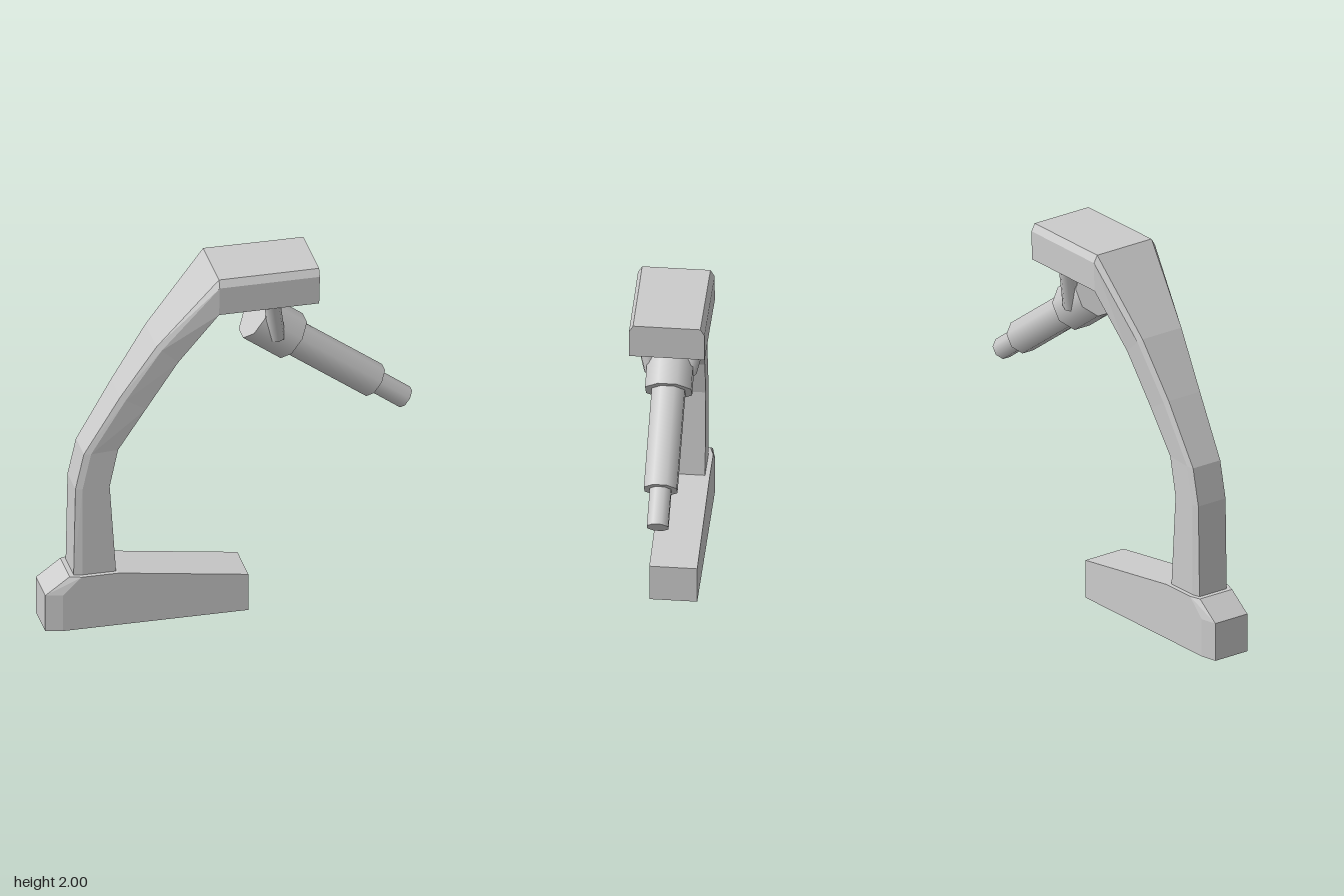
import * as THREE from 'three';
import { ConvexGeometry } from 'three/addons/geometries/ConvexGeometry.js';

const flat = new THREE.MeshStandardMaterial({ color: 0xcccccc, flatShading: true });
const smooth = new THREE.MeshStandardMaterial({ color: 0xcccccc });

function part(name, geometry, material) {
  const mesh = new THREE.Mesh(geometry, material);
  mesh.name = name;
  return mesh;
}

// Eight-sided rod between two points, flats facing sideways
function rod(name, from, to, radius) {
  const a = new THREE.Vector3(...from), b = new THREE.Vector3(...to);
  const dir = b.clone().sub(a);
  const geometry = new THREE.CylinderGeometry(radius, radius, dir.length(), 8, 1, false, Math.PI / 8);
  const mesh = part(name, geometry, smooth);
  mesh.position.copy(a).add(b).multiplyScalar(0.5);
  mesh.quaternion.setFromUnitVectors(new THREE.Vector3(0, 1, 0), dir.normalize());
  return mesh;
}

// Skin through rings of equal length, with closed ends
function loft(rings) {
  const positions = [];
  const tri = (...points) => points.forEach((p) => positions.push(...p));
  const n = rings[0].length;
  for (let i = 0; i < rings.length - 1; i++) {
    for (let k = 0; k < n; k++) {
      const j = (k + 1) % n;
      const a = rings[i][k], b = rings[i][j], c = rings[i + 1][j], d = rings[i + 1][k];
      tri(a, b, c);
      tri(a, c, d);
    }
  }
  const first = rings[0], last = rings[rings.length - 1];
  for (let k = 1; k < n - 1; k++) {
    tri(first[0], first[k + 1], first[k]);
    tri(last[0], last[k], last[k + 1]);
  }
  const geometry = new THREE.BufferGeometry();
  geometry.setAttribute('position', new THREE.Float32BufferAttribute(positions, 3));
  geometry.computeVertexNormals();
  return geometry;
}

// Wedge foot with bevelled rear corners
function makeBase() {
  const points = [];
  for (const s of [-1, 1]) {
    for (const [x, y, z] of [
      [-0.99, 0, 0.105], [-0.99, 0.21, 0.105], [-0.86, 0.305, 0.105],
      [-0.9, 0, 0.125], [-0.9, 0.21, 0.125], [-0.8, 0.305, 0.125],
      [-0.6, 0.305, 0.125], [0.09, 0.21, 0.125], [0.09, 0, 0.125],
    ]) points.push(new THREE.Vector3(x, y, z * s));
  }
  return part('base', new ConvexGeometry(points), flat);
}

// Curved arm and head: outer x, y, inner x, y, half width
function makeArm() {
  const stations = [
    [-0.835, 0.29, -0.61, 0.29, 0.1],
    [-0.825, 0.81, -0.645, 0.81, 0.1],
    [-0.78, 1.01, -0.6, 1.02, 0.1],
    [-0.59, 1.33, -0.455, 1.25, 0.115],
    [-0.4, 1.62, -0.29, 1.52, 0.143],
    [-0.08, 2, -0.085, 1.805, 0.2],
    [0.455, 2, 0.45, 1.805, 0.197],
  ];
  const rings = stations.map(([ox, oy, ix, iy, w]) => {
    const sx = ox + (ix - ox) * 0.2, sy = oy + (iy - oy) * 0.2;
    const ow = w * 0.89;
    return [[ox, oy, -ow], [ox, oy, ow], [sx, sy, w], [ix, iy, w], [ix, iy, -w], [sx, sy, -w]];
  });
  return part('arm', loft(rings), flat);
}

export function createModel() {
  const model = new THREE.Group();
  model.name = 'deskScope';
  model.add(makeBase(), makeArm());

  // Tilted barrel in three steps
  const barrel = new THREE.Group();
  barrel.name = 'barrel';
  barrel.add(
    rod('collar', [0.15, 1.667, 0], [0.35, 1.522, 0], 0.13),
    rod('tube', [0.33, 1.536, 0], [0.79, 1.204, 0], 0.093),
    rod('tip', [0.77, 1.218, 0], [0.955, 1.083, 0], 0.06),
  );
  model.add(barrel);

  // Yoke struts holding the collar under the head
  for (const [name, s] of [['leftStrut', 1], ['rightStrut', -1]]) {
    model.add(rod(name, [0.207, 1.83, s * 0.155], [0.25, 1.58, s * 0.095], 0.043));
  }
  return model;
}
